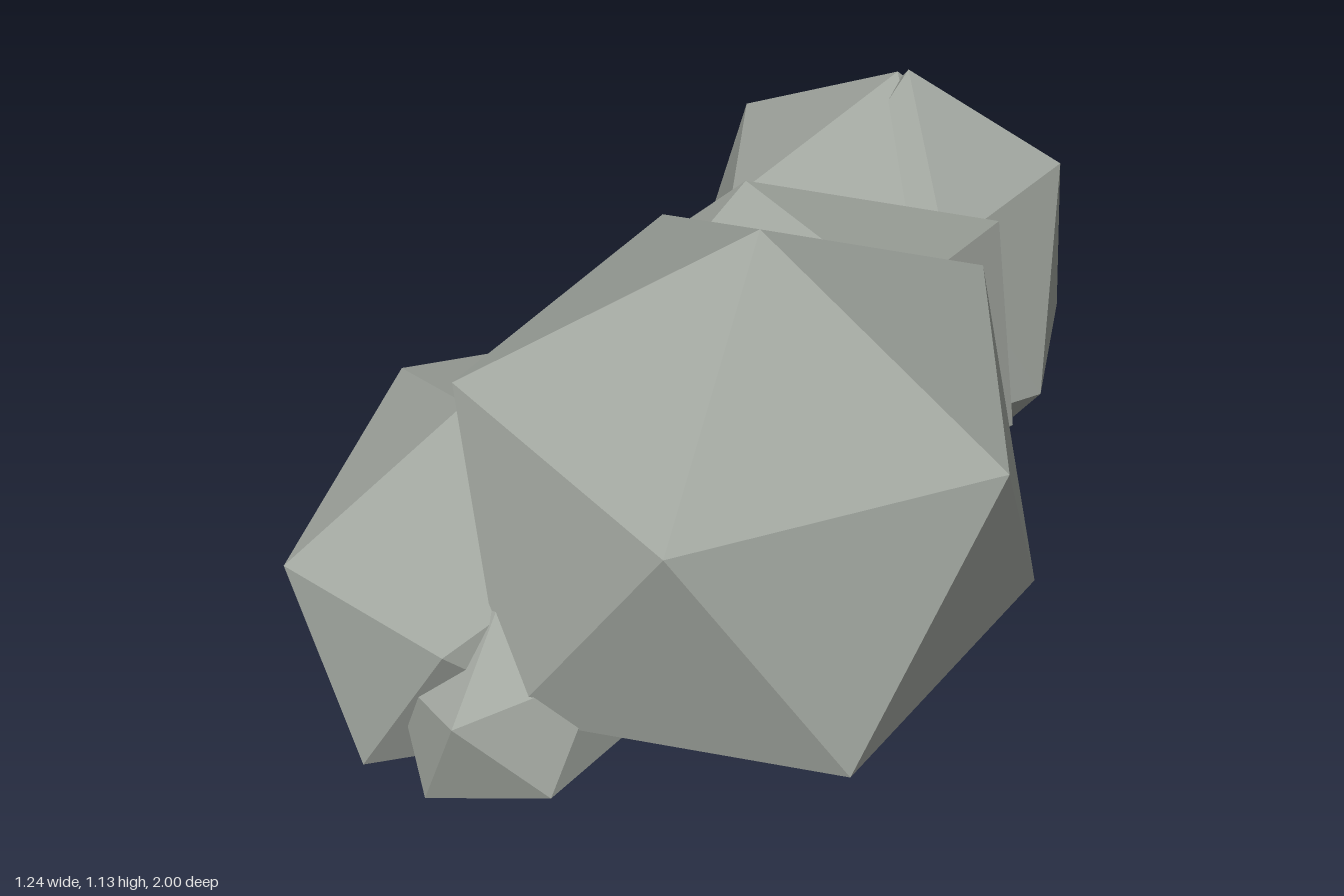
import * as THREE from 'three';

const stone = new THREE.MeshStandardMaterial({ color: 0xa2a7a0 });
stone.name = 'stone grey';

// A stretched icosahedron: its centre, and one face given as three corners relative to the centre
function rock(name, centre, a, b, c) {
  const geo = new THREE.IcosahedronGeometry(1, 0);
  const basis = (p, q, r) => new THREE.Matrix4().makeBasis(p, q, r);
  const corner = (i) => new THREE.Vector3().fromBufferAttribute(geo.attributes.position, i);
  const [p, q, r] = [a, b, c].map((v) => new THREE.Vector3(...v));
  const target = basis(p, q, r);
  // keep the faces turned outward
  if (target.determinant() < 0) target.copy(basis(p, r, q));
  const source = basis(corner(0), corner(1), corner(2));
  geo.applyMatrix4(target.multiply(source.invert()));
  geo.computeVertexNormals();
  const mesh = new THREE.Mesh(geo, stone);
  mesh.name = name;
  mesh.position.set(...centre);
  return mesh;
}

export function createModel() {
  const group = new THREE.Group();
  group.name = 'rockCluster';
  group.add(
    // largest boulder
    rock('largeBoulder', [0.15, 0.64, 0.38], [0.02, 0.49, 0], [0.47, 0.18, -0.05], [0.21, 0.21, 0.49]),
    // front right stone
    rock('frontRock', [-0.22, 0.495, 0.607], [0, 0.305, 0.053], [-0.17, 0.065, 0.323], [-0.3, 0.175, -0.117]),
    // stone wedged under the boulder and the front stone
    rock('wedgedRock', [-0.12, 0.42, 0.43], [-0.01, -0.31, 0.03], [-0.27, -0.14, 0.05], [-0.04, -0.14, 0.28]),
    // stone joining front and back
    rock('middleRock', [-0.17, 0.5, -0.08], [-0.07, 0.36, -0.03], [0.21, 0.2, -0.41], [0.335, 0.318, 0.075]),
    // two overlapping stones at the back
    rock('backRockLeft', [-0.215, 0.425, -0.64], [-0.055, 0.422, 0], [0.195, 0.245, -0.14], [0.2, 0.24, 0.237]),
    rock('backRockRight', [-0.33, 0.468, -0.603], [0.03, 0.362, -0.045], [-0.29, 0.212, 0.001], [-0.12, 0.1, -0.397]),
    // small stone at the front
    rock('smallRock', [0.012, 0.412, 0.8], [0.01, 0.04, 0.195], [-0.08, -0.152, 0.172], [0.128, -0.1, 0.1]),
  );
  return group;
}
